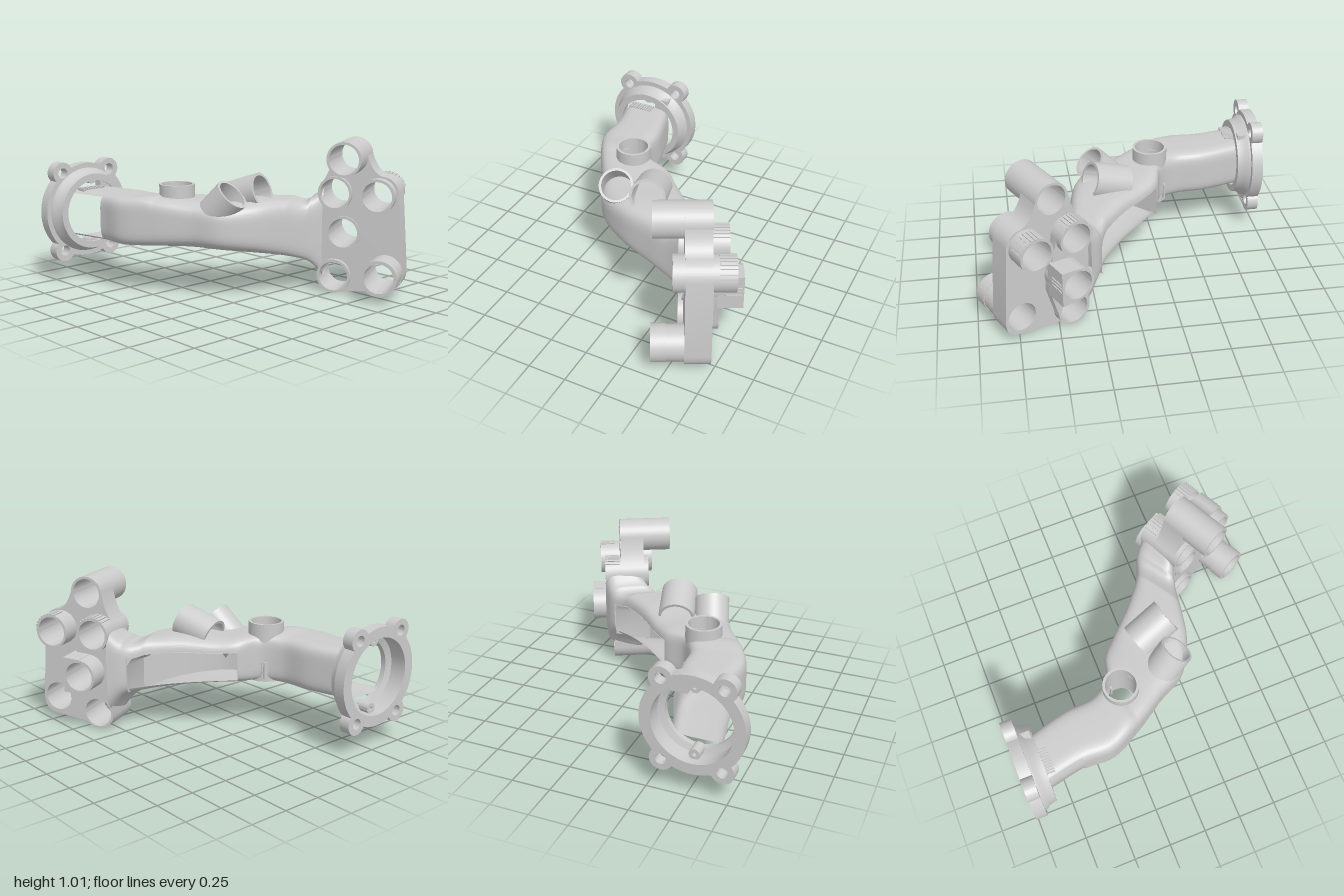
import * as THREE from 'three';
import { toCreasedNormals } from 'three/addons/utils/BufferGeometryUtils.js';

const material = new THREE.MeshStandardMaterial({ color: 0xcccccc, side: THREE.DoubleSide });
const V = (x, y, z) => new THREE.Vector3(x, y, z);

function add(parent, name, geometry, crease = 0.6) {
  const mesh = new THREE.Mesh(toCreasedNormals(geometry, crease), material);
  mesh.name = name;
  parent.add(mesh);
  return mesh;
}

const circle = (x, y, r) => new THREE.Path().absarc(x, y, r, 0, Math.PI * 2, true);
const extrude = (shape, depth) => new THREE.ExtrudeGeometry(shape, { depth, bevelEnabled: false, curveSegments: 32 });

// Open pipe running from a to b
function pipe(parent, name, outer, inner, a, b) {
  const shape = new THREE.Shape().absarc(0, 0, outer, 0, Math.PI * 2, false);
  shape.holes.push(circle(0, 0, inner));
  const mesh = add(parent, name, extrude(shape, a.distanceTo(b)));
  mesh.position.copy(a);
  mesh.quaternion.setFromUnitVectors(V(0, 0, 1), b.clone().sub(a).normalize());
}

// Plate drawn in (z, y) and extruded along x from u0 to u1
function plate(parent, name, shape, u0, u1) {
  add(parent, name, extrude(shape, u1 - u0).rotateY(-Math.PI / 2).translate(u1, 0, 0));
}

function indexed(positions, index) {
  const geo = new THREE.BufferGeometry();
  geo.setAttribute('position', new THREE.Float32BufferAttribute(positions, 3));
  return geo.setIndex(index);
}

// Mounting flange with four screw lugs
function buildFlange() {
  const flange = new THREE.Group();
  flange.name = 'mountingFlange';
  flange.position.set(-0.53, 0.48, -1);
  const base = new THREE.Shape();
  base.holes.push(circle(0, 0, 0.25));
  const lift = Math.atan2(0.265, 0.187);
  const lugAngles = [lift, Math.PI - lift, Math.PI + lift, 2 * Math.PI - lift];
  lugAngles.forEach((a, i) => {
    const x = 0.324 * Math.cos(a), y = 0.324 * Math.sin(a);
    const next = i < 3 ? lugAngles[i + 1] : lift + 2 * Math.PI;
    base.absarc(x, y, 0.073, a - 1.806, a + 1.806, false);
    base.absarc(0, 0, 0.32, a + 0.227, next - 0.227, false);
    base.holes.push(circle(x, y, 0.035));
  });
  add(flange, 'flangeBase', extrude(base, 0.075));
  const profile = [[0.25, 0.07], [0.288, 0.07], [0.283, 0.09], [0.265, 0.11], [0.255, 0.16],
    [0.21, 0.16], [0.21, 0.125], [0.25, 0.11], [0.25, 0.07]].map(p => new THREE.Vector2(...p));
  add(flange, 'flangeCollar', new THREE.LatheGeometry(profile, 64).rotateX(Math.PI / 2));
  for (const s of [-1, 1]) pipe(flange, 'pinBoss', 0.035, 0.013, V(0, s * 0.22, 0.05), V(0, s * 0.22, 0.14));
  add(flange, 'innerBlock', new THREE.BoxGeometry(0.1, 0.09, 0.06).translate(0.11, 0.19, 0.12));
  return flange;
}

// Sections of the arm: front x, z, back x, z, front bottom, back bottom, top
const sections = [
  [-0.70, -0.87, -0.37, -0.87, 0.32, 0.32, 0.64],
  [-0.65, -0.60, -0.30, -0.60, 0.32, 0.32, 0.64],
  [-0.65, -0.40, -0.28, -0.40, 0.32, 0.32, 0.64],
  [-0.55, -0.19, -0.20, -0.28, 0.33, 0.33, 0.64],
  [-0.42, 0.02, -0.05, -0.23, 0.33, 0.33, 0.63],
  [-0.32, 0.20, 0.06, -0.13, 0.32, 0.32, 0.62],
  [-0.12, 0.32, 0.22, 0.03, 0.29, 0.30, 0.63],
  [0.10, 0.37, 0.40, 0.17, 0.24, 0.28, 0.62],
  [0.27, 0.40, 0.54, 0.23, 0.17, 0.27, 0.62],
  [0.37, 0.43, 0.61, 0.29, 0.06, 0.18, 0.69],
];
const last = sections.length - 1;
const curve = k => new THREE.CatmullRomCurve3(sections.map(s => V(...k.map(i => s[i]))));
const front = curve([0, 4, 1]), back = curve([2, 5, 3]), tops = curve([6, 6, 6]);
const bore = V(-0.31, 0, -0.22);

// Point of the arm at section t; c runs front to back and s bottom to top, both -1 to 1
function armPoint(t, c, s) {
  const p = front.getPoint(t / last).lerp(back.getPoint(t / last), (c + 1) / 2);
  p.y += (tops.getPoint(t / last).y - p.y) * (s + 1) / 2;
  return p;
}

// Bent hollow arm: rounded rectangles blended along the sections
function buildArm() {
  const steps = 16, rows = last * steps, ring = 96;
  const positions = [], index = [], inBore = [];
  const profile = (t, j) => {
    const a = (j + 0.5) / ring * Math.PI * 2;
    const round = Math.cos(a) < 0 ? 0.4 + 0.12 * THREE.MathUtils.smoothstep(t, 2.5, 4.5) : 0.4;
    return [Math.cos(a), Math.sin(a)].map(v => Math.sign(v) * Math.abs(v) ** round);
  };
  for (let i = 0; i <= rows; i++) for (let j = 0; j < ring; j++) {
    const [c, s] = profile(i / steps, j), p = armPoint(i / steps, c, s);
    // Vertices inside the upright pipe move out to its wall
    const dx = p.x - bore.x, dz = p.z - bore.z, d = Math.hypot(dx, dz);
    const inside = Math.abs(s) > 0.9 && d < 0.106;
    inBore.push(inside);
    if (inside) p.set(bore.x + dx / d * 0.106, p.y, bore.z + dz / d * 0.106);
    positions.push(p.x, p.y, p.z);
  }
  for (let i = 0; i < rows; i++) for (let j = 0; j < ring; j++) {
    const k = (j + 1) % ring, t = i / steps, [c, s] = profile(t, j), [c2, s2] = profile(t, k);
    const p = i * ring + j, q = i * ring + k;
    // Window in the back wall, and a cut-out beside the flange
    if (Math.min(c, c2) > 0.7 && Math.min(s, s2) > -0.85 && Math.max(s, s2) < 0.5 && t >= 4 && t < 7.7) continue;
    if (Math.max(c, c2) < -0.8 && Math.max(Math.abs(s), Math.abs(s2)) < 0.87 && t < 1) continue;
    if ([p, q, p + ring, q + ring].every(v => inBore[v])) continue;
    index.push(p, q, p + ring, q, q + ring, p + ring);
  }
  return indexed(positions, index);
}

// Lining of the window: upright wall and sloping ceiling, closed at both ends
function buildWindowLining() {
  const outline = [[-0.3, -0.97], [-0.3, 0.2], [0.985, 0.45]], count = 24, positions = [], index = [];
  const ts = [4, ...Array.from({ length: count + 1 }, (_, i) => 4.3 + 3.2 * i / count), 7.7];
  ts.forEach((t, i) => {
    const end = i === 0 || i === ts.length - 1;
    for (const [c, s] of outline) positions.push(...armPoint(t, end ? 0.985 : c, s).toArray());
    if (i) for (let j = 0; j < 2; j++) {
      const p = i * 3 + j;
      index.push(p - 3, p - 2, p, p - 2, p + 1, p);
    }
  });
  return indexed(positions, index);
}

// Head that carries six sockets; its own x runs along the sockets
function buildHead() {
  const head = new THREE.Group();
  head.name = 'socketHead';
  head.rotation.y = 0.47;
  // Sockets: z, y, start, end
  const sockets = [
    [0.73, 0.90, -0.045, 0.30],
    [0.92, 0.66, 0.07, 0.435],
    [0.636, 0.66, 0.11, 0.41],
    [0.69, 0.40, 0.13, 0.50],
    [0.97, 0.165, -0.06, 0.30],
    [0.636, 0.115, 0.11, 0.36],
  ];
  for (const [z, y, a, b] of sockets) pipe(head, 'socket', 0.111, 0.095, V(a, y, z), V(b, y, z));
  pipe(head, 'socketCollar', 0.116, 0.095, V(-0.06, 0.165, 0.97), V(0.03, 0.165, 0.97));

  const s = new THREE.Shape();
  s.moveTo(0.65, 0.004);
  s.lineTo(1.0, 0.045);
  s.quadraticCurveTo(1.085, 0.06, 1.082, 0.16);
  s.lineTo(1.045, 0.68);
  s.quadraticCurveTo(1.03, 0.77, 0.94, 0.78);
  s.quadraticCurveTo(0.87, 0.80, 0.838, 0.92);
  s.absarc(0.73, 0.90, 0.111, 0.18, Math.PI - 0.18, false);
  s.quadraticCurveTo(0.60, 0.80, 0.55, 0.73);
  s.lineTo(0.525, 0.66);
  s.lineTo(0.525, 0.115);
  s.quadraticCurveTo(0.53, 0.01, 0.65, 0.004);
  for (const [z, y] of sockets) s.holes.push(circle(z, y, 0.0955));
  plate(head, 'headPlate', s, 0.14, 0.30);

  // Raised pad behind the three rear sockets
  const pad = new THREE.Shape();
  pad.absarc(0.636, 0.115, 0.111, -Math.PI / 2, 0, false);
  pad.lineTo(0.80, 0.30);
  pad.lineTo(0.79, 0.48);
  pad.lineTo(0.747, 0.66);
  pad.absarc(0.636, 0.66, 0.111, 0, Math.PI, false);
  pad.absarc(0.636, 0.115, 0.111, Math.PI, Math.PI * 1.5, false);
  for (const i of [2, 3, 5]) pad.holes.push(circle(sockets[i][0], sockets[i][1], 0.0955));
  plate(head, 'rearPad', pad, 0.30, 0.36);

  // Square side of the middle socket
  const block = new THREE.Shape();
  block.moveTo(0.69, 0.287);
  block.lineTo(0.80, 0.285);
  block.lineTo(0.80, 0.52);
  block.lineTo(0.69, 0.513);
  block.absarc(0.69, 0.40, 0.0955, Math.PI / 2, -Math.PI / 2, true);
  plate(head, 'middleBlock', block, 0.34, 0.50);

  // Grip ribs along part of the two longer sockets
  for (const [socket, tilt] of [[sockets[1], 0.55], [sockets[2], 0.1]]) for (let i = 0; i < 8; i++) {
    const rib = add(head, 'gripRib', new THREE.BoxGeometry(0.1, 0.014, 0.014).translate(0, 0.111, 0));
    rib.position.set(socket[3] - 0.05, socket[1], socket[0]);
    rib.rotation.x = tilt + (i - 3.5) * 0.21;
  }
  for (const dy of [-0.025, 0, 0.025])
    add(head, 'sideRib', new THREE.BoxGeometry(0.1, 0.012, 0.014).translate(0.44, 0.41 + dy, 0.80));
  return head;
}

export function createModel() {
  const model = new THREE.Group();
  model.name = 'socketBracket';
  model.add(buildFlange(), buildHead());
  add(model, 'arm', buildArm(), 0.9);
  add(model, 'windowLining', buildWindowLining());

  // Three pipes rising from the bend of the arm
  pipe(model, 'uprightPipe', 0.115, 0.098, V(bore.x, 0.33, bore.z), V(bore.x, 0.715, bore.z));
  pipe(model, 'leaningPipe', 0.112, 0.096, V(-0.28, 0.48, 0.015), V(-0.212, 0.685, 0.2));
  pipe(model, 'forwardPipe', 0.118, 0.1, V(-0.04, 0.605, -0.005), V(0.025, 0.685, 0.225));

  // Short ribs where the arm meets the flange, and on its inner bend
  for (let i = 0; i < 10; i++)
    add(model, 'armRib', new THREE.BoxGeometry(0.009, 0.02, 0.07).translate(-0.645 + i * 0.018, 0.64, -0.82));
  for (let i = 0; i < 3; i++)
    add(model, 'bendRib', new THREE.BoxGeometry(0.03, 0.11, 0.012).translate(-0.225, 0.41, -0.31 + i * 0.025));
  return model;
}
